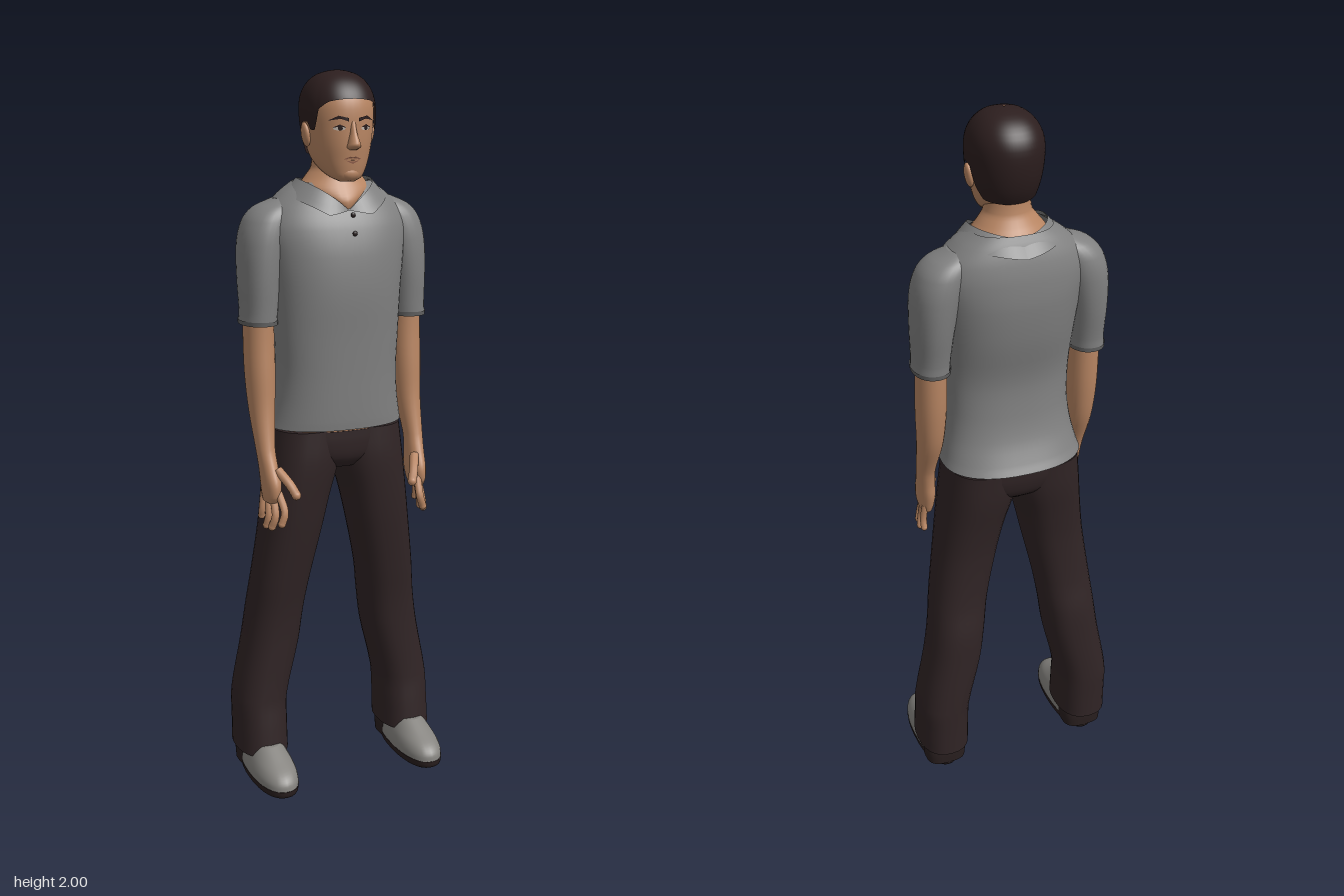
import * as THREE from 'three';

const mat = (name, color, side = THREE.FrontSide) => {
  const m = new THREE.MeshStandardMaterial({ color, side });
  m.name = name;
  return m;
};

// Cross-section rows are [y, xMin, xMax, zMin, zMax], rising in y.
const sym = (rows) => rows.map(([y, h, z0, z1]) => [y, -h, h, z0, z1]);
const flip = (rows, s) => (s > 0 ? rows : rows.map(([y, a, b, c, d]) => [y, -b, -a, c, d]));

// Smoothly interpolated cross-section at height y
function sample(rows, y) {
  const n = rows.length;
  let i = 0;
  while (i < n - 2 && y > rows[i + 1][0]) i++;
  const a = rows[i], b = rows[i + 1], p = rows[Math.max(0, i - 1)], q = rows[Math.min(n - 1, i + 2)];
  const h = b[0] - a[0], t = THREE.MathUtils.clamp((y - a[0]) / h, 0, 1);
  return a.map((v, k) => {
    if (k === 0) return y;
    const m0 = ((b[k] - p[k]) / (b[0] - p[0])) * h, m1 = ((q[k] - v) / (q[0] - a[0])) * h;
    const t2 = t * t, t3 = t2 * t;
    return (2 * t3 - 3 * t2 + 1) * v + (t3 - 2 * t2 + t) * m0 + (3 * t2 - 2 * t3) * b[k] + (t3 - t2) * m1;
  });
}

// Point on the rounded-box outline of a cross-section
function outline([y, x0, x1, z0, z1], angle, p, grow = 0) {
  const c = Math.cos(angle), s = Math.sin(angle);
  const f = (v) => Math.sign(v) * Math.abs(v) ** (2 / p);
  return [(x0 + x1) / 2 + ((x1 - x0) / 2 + grow) * f(c), y, (z0 + z1) / 2 + ((z1 - z0) / 2 + grow) * f(s)];
}

function build(pos, idx) {
  const g = new THREE.BufferGeometry();
  g.setAttribute('position', new THREE.Float32BufferAttribute(pos, 3));
  g.setIndex(idx);
  g.computeVertexNormals();
  return g;
}

// Body of stacked cross-sections, optionally capped at both ends
function loft(rows, { p = 2.3, n = 32, sub = 4, caps = true } = {}) {
  const pos = [], idx = [], levels = [];
  for (let i = 0; i < rows.length - 1; i++)
    for (let k = 0; k < sub; k++) levels.push(rows[i][0] + ((rows[i + 1][0] - rows[i][0]) * k) / sub);
  levels.push(rows[rows.length - 1][0]);
  const ring = (y) => {
    const sec = sample(rows, y);
    for (let j = 0; j < n; j++) pos.push(...outline(sec, (j / n) * Math.PI * 2, p));
    return sec;
  };
  levels.forEach(ring);
  for (let i = 0; i < levels.length - 1; i++)
    for (let j = 0; j < n; j++) {
      const a = i * n + j, b = i * n + ((j + 1) % n);
      idx.push(a, a + n, b, b, a + n, b + n);
    }
  if (caps) [levels[0], levels[levels.length - 1]].forEach((y, top) => {
    const base = pos.length / 3;
    const [, x0, x1, z0, z1] = ring(y);
    pos.push((x0 + x1) / 2, y, (z0 + z1) / 2);
    for (let j = 0; j < n; j++) {
      const a = base + j, b = base + ((j + 1) % n);
      idx.push(base + n, top ? b : a, top ? a : b);
    }
  });
  return build(pos, idx);
}

// Open sheet from a function of u and v
function sheet(nu, nv, f) {
  const pos = [], idx = [];
  for (let i = 0; i <= nu; i++) for (let j = 0; j <= nv; j++) pos.push(...f(i / nu, j / nv));
  for (let i = 0; i < nu; i++)
    for (let j = 0; j < nv; j++) {
      const a = i * (nv + 1) + j, b = a + nv + 1;
      idx.push(a, a + 1, b, b, a + 1, b + 1);
    }
  return build(pos, idx);
}

const HEAD = sym([
  [1.715, 0.02, 0.05, 0.085], [1.725, 0.04, 0.02, 0.097], [1.745, 0.058, -0.03, 0.102],
  [1.775, 0.073, -0.075, 0.106], [1.81, 0.082, -0.095, 0.11], [1.85, 0.088, -0.107, 0.111],
  [1.9, 0.091, -0.112, 0.11], [1.935, 0.086, -0.106, 0.1], [1.965, 0.07, -0.085, 0.078],
  [1.985, 0.046, -0.055, 0.048], [1.994, 0.018, -0.022, 0.018], [1.996, 0.002, -0.003, 0.002]]);
const TORSO = sym([
  [1.045, 0.197, -0.182, 0.102], [1.07, 0.19, -0.168, 0.104], [1.13, 0.178, -0.142, 0.106],
  [1.2, 0.172, -0.128, 0.108], [1.3, 0.175, -0.125, 0.112], [1.42, 0.183, -0.15, 0.118],
  [1.52, 0.195, -0.162, 0.112], [1.59, 0.203, -0.16, 0.096], [1.64, 0.188, -0.152, 0.075],
  [1.68, 0.15, -0.14, 0.055], [1.71, 0.108, -0.125, 0.03]]);
const SLEEVE = [
  [1.34, 0.172, 0.27, -0.1, 0.038], [1.37, 0.17, 0.268, -0.102, 0.04], [1.46, 0.16, 0.27, -0.118, 0.046],
  [1.55, 0.14, 0.268, -0.126, 0.045], [1.61, 0.12, 0.252, -0.122, 0.036], [1.645, 0.1, 0.222, -0.108, 0.02],
  [1.668, 0.09, 0.17, -0.085, -0.005]];
const ARM = [
  [0.855, 0.205, 0.238, 0.015, 0.09], [0.875, 0.198, 0.242, 0.008, 0.102], [0.91, 0.194, 0.244, 0, 0.102],
  [0.95, 0.197, 0.246, -0.002, 0.082], [1.0, 0.198, 0.25, -0.012, 0.06], [1.1, 0.186, 0.256, -0.055, 0.038],
  [1.2, 0.179, 0.261, -0.075, 0.03], [1.3, 0.178, 0.261, -0.082, 0.022], [1.42, 0.18, 0.26, -0.085, 0.02]];
const FINGERS = [
  ['thumb', 0.013, [0.206, 0.945, 0.075], [0.185, 0.91, 0.115], [0.174, 0.885, 0.13]],
  ['indexFinger', 0.011, [0.21, 0.885, 0.088], [0.204, 0.835, 0.12], [0.213, 0.805, 0.12]],
  ['middleFinger', 0.011, [0.22, 0.875, 0.07], [0.222, 0.82, 0.095], [0.23, 0.79, 0.088]],
  ['ringFinger', 0.011, [0.226, 0.875, 0.048], [0.23, 0.815, 0.064], [0.235, 0.787, 0.058]],
  ['littleFinger', 0.0095, [0.23, 0.875, 0.024], [0.236, 0.825, 0.026], [0.236, 0.803, 0.02]]];
const LEG = [
  [0.08, 0.153, 0.303, -0.152, 0.056], [0.16, 0.152, 0.302, -0.153, 0.046], [0.24, 0.148, 0.3, -0.155, 0.036],
  [0.4, 0.11, 0.27, -0.152, 0.033], [0.5, 0.096, 0.255, -0.148, 0.037], [0.6, 0.08, 0.243, -0.132, 0.05],
  [0.75, 0.047, 0.222, -0.128, 0.07], [0.85, 0.024, 0.21, -0.138, 0.08], [0.95, -0.004, 0.199, -0.154, 0.086],
  [1.04, -0.012, 0.189, -0.16, 0.082]];
const SHOE = [
  [0.03, 0.164, 0.291, -0.12, 0.185], [0.05, 0.165, 0.29, -0.12, 0.181], [0.07, 0.17, 0.284, -0.118, 0.16],
  [0.09, 0.178, 0.276, -0.115, 0.115], [0.112, 0.188, 0.266, -0.11, 0.065]];

export function createModel() {
  const root = new THREE.Group();
  root.name = 'standingMan';
  const skin = mat('skin', 0xb98663), hairMat = mat('hair', 0x2c1e1e, THREE.DoubleSide);
  const shirt = mat('shirtGrey', 0x808080, THREE.DoubleSide), trim = mat('cuffGrey', 0x626262, THREE.DoubleSide);
  const pants = mat('trouserBrown', 0x302425), shoeMat = mat('shoeGrey', 0x868480), sole = mat('soleDark', 0x281e1e);
  const white = mat('eyeWhite', 0xbdb2a8), lip = mat('lips', 0x93604c);
  const add = (name, geo, material, parent = root) => {
    const m = new THREE.Mesh(geo, material);
    m.name = name;
    parent.add(m);
    return m;
  };
  const ball = (name, r, material, [x, y, z], [a, b, c]) => {
    const m = add(name, new THREE.SphereGeometry(r, 16, 12), material);
    m.position.set(x, y, z);
    m.scale.set(a, b, c);
    return m;
  };

  // Head, neck and upper chest
  add('head', loft(HEAD, { p: 2.2, n: 40 }), skin);
  add('neck', loft(sym([[1.625, 0.012, -0.1, 0.068], [1.66, 0.06, -0.11, 0.077], [1.69, 0.1, -0.115, 0.062],
    [1.72, 0.082, -0.098, 0.044], [1.75, 0.062, -0.084, 0.036], [1.82, 0.06, -0.08, 0.04]]), { p: 2 }), skin);
  add('nose', loft(sym([[1.798, 0.01, 0.09, 0.118], [1.805, 0.018, 0.09, 0.134], [1.815, 0.016, 0.09, 0.138],
    [1.84, 0.01, 0.09, 0.124], [1.87, 0.008, 0.09, 0.112]]), { p: 2, n: 16 }), skin);
  ball('chin', 0.025, skin, [0, 1.737, 0.085], [1.1, 0.8, 0.75]);

  // Short hair, with a lower edge that runs round temples, ears and nape
  const hairline = (z) => {
    const k = [[-0.12, 1.775], [-0.06, 1.785], [-0.03, 1.82], [-0.01, 1.868], [0.025, 1.868], [0.035, 1.845],
      [0.055, 1.85], [0.066, 1.9], [0.09, 1.92], [0.12, 1.93]];
    const i = Math.max(1, k.findIndex((q) => z <= q[0]));
    return THREE.MathUtils.mapLinear(z, k[i - 1][0], k[i][0], k[i - 1][1], k[i][1]);
  };
  add('hair', sheet(72, 18, (u, v) => {
    const a = -u * Math.PI * 2;
    const z = THREE.MathUtils.clamp(outline(sample(HEAD, 1.87), a, 2.2)[2], -0.119, 0.119);
    const low = hairline(z), y = low + (1.996 - low) * Math.sin((v * Math.PI) / 2);
    const pt = outline(sample(HEAD, y), a, 2.2, 0.006 * (1 - v ** 8));
    pt[1] += 0.004 * v;
    return pt;
  }), hairMat);

  // Flat details laid on the face
  const faceZ = (x, y) => {
    const [, , h, z0, z1] = sample(HEAD, y);
    return (z0 + z1) / 2 + ((z1 - z0) / 2) * (1 - Math.min(1, Math.abs(x / h)) ** 2.2) ** (1 / 2.2);
  };
  const decal = (name, material, pts, lift = 0.002) => {
    const g = new THREE.ShapeGeometry(new THREE.Shape(pts.map(([x, y]) => new THREE.Vector2(x, y))));
    const q = g.attributes.position;
    for (let i = 0; i < q.count; i++) q.setZ(i, faceZ(q.getX(i), q.getY(i)) + lift);
    g.computeVertexNormals();
    add(name, g, material);
  };
  const oval = (cx, cy, rx, ry) => Array.from({ length: 14 }, (_, i) => {
    const a = (i / 14) * Math.PI * 2;
    return [cx + rx * Math.cos(a), cy + ry * Math.sin(a)];
  });
  decal('upperLip', lip, [[-0.026, 1.774], [0, 1.771], [0.026, 1.774], [0.008, 1.781], [0, 1.779], [-0.008, 1.781]]);
  decal('lowerLip', lip, [[-0.02, 1.771], [0, 1.762], [0.02, 1.771], [0, 1.768]]);

  // Shirt body and buttons
  add('shirtBody', loft(TORSO, { p: 2.35, n: 48, caps: false }), shirt);
  add('waist', loft(sym([[1.0, 0.17, -0.14, 0.07], [1.045, 0.183, -0.155, 0.086], [1.1, 0.165, -0.13, 0.08]])), skin);
  [[1.628, 0.087], [1.58, 0.1]].forEach(([y, z]) => ball('button', 0.007, sole, [0.01, y, z], [1, 1, 0.6]));
  add('trouserSeat', loft(sym([[0.93, 0.06, -0.11, 0.06], [0.96, 0.15, -0.145, 0.08], [1.0, 0.19, -0.16, 0.086],
    [1.038, 0.19, -0.164, 0.086]])), pants);

  for (const s of [1, -1]) {
    const side = s > 0 ? 'left' : 'right';
    const sx = (pts) => pts.map(([x, y]) => [x * s, y]);

    // Ear, eye and brow
    ball(side + 'Ear', 0.028, skin, [0.092 * s, 1.835, 0.005], [0.38, 1.15, 0.7]).rotation.z = -0.15 * s;
    decal(side + 'Eye', white, oval(0.037 * s, 1.853, 0.015, 0.0055));
    decal(side + 'Iris', sole, oval(0.036 * s, 1.853, 0.006, 0.0055), 0.004);
    decal(side + 'EyeLid', hairMat, sx([[0.02, 1.855], [0.036, 1.857], [0.054, 1.855], [0.037, 1.863]]), 0.004);
    decal(side + 'Brow', hairMat, sx([[0.014, 1.87], [0.035, 1.877], [0.064, 1.872], [0.04, 1.885], [0.014, 1.879]]), 0.004);

    // Collar half, narrowing to the front opening
    add(side + 'Collar', sheet(28, 3, (u, v) => {
      const a = u * Math.PI, c = Math.cos(a), w = v * Math.min(1, (1 - u) / 0.14);
      const inner = [0.103 * Math.sin(a), 1.7 + 0.022 * Math.sin(a) - 0.06 * u ** 4, -0.02 - 0.102 * c];
      const outer = [0.142 * Math.sin(a), inner[1] - 0.04 - 0.012 * u ** 3, -0.025 - 0.138 * c];
      return inner.map((q, k) => (q + (outer[k] - q) * w) * (k === 0 ? s : 1));
    }), shirt);

    // Sleeve, cuff, arm and hand
    add(side + 'Sleeve', loft(flip(SLEEVE, s), { p: 2.2 }), shirt);
    add(side + 'Cuff', loft(flip([[1.335, 0.17, 0.271, -0.102, 0.04], [1.347, 0.169, 0.272, -0.103, 0.041]], s),
      { p: 2.2, sub: 1, caps: false }), trim);
    add(side + 'Arm', loft(flip(ARM, s), { p: 2.1, n: 24 }), skin);
    for (const [name, r, ...pts] of FINGERS) {
      const path = new THREE.CatmullRomCurve3(pts.map(([x, y, z]) => new THREE.Vector3(x * s, y, z)));
      add(side + '-' + name, new THREE.TubeGeometry(path, 8, r, 10), skin);
      ball(side + '-' + name + 'Tip', r, skin, path.getPoint(1).toArray(), [1, 1, 1]);
    }

    // Trouser leg and shoe
    add(side + 'TrouserLeg', loft(flip(LEG, s), { p: 2.4, n: 28 }), pants);
    add(side + 'ShoeUpper', loft(flip(SHOE, s), { p: 2.3 }), shoeMat);
    add(side + 'ShoeSole', loft(flip([[0, 0.178, 0.276, -0.112, 0.16], [0.012, 0.166, 0.289, -0.12, 0.182],
      [0.031, 0.163, 0.292, -0.122, 0.186]], s), { p: 2.3 }), sole);
    add(side + 'ShoeHeel', loft(flip([[0.02, 0.168, 0.288, -0.124, -0.02], [0.06, 0.166, 0.289, -0.124, -0.025],
      [0.1, 0.176, 0.279, -0.118, -0.03]], s), { p: 3 }), sole);
  }
  return root;
}
